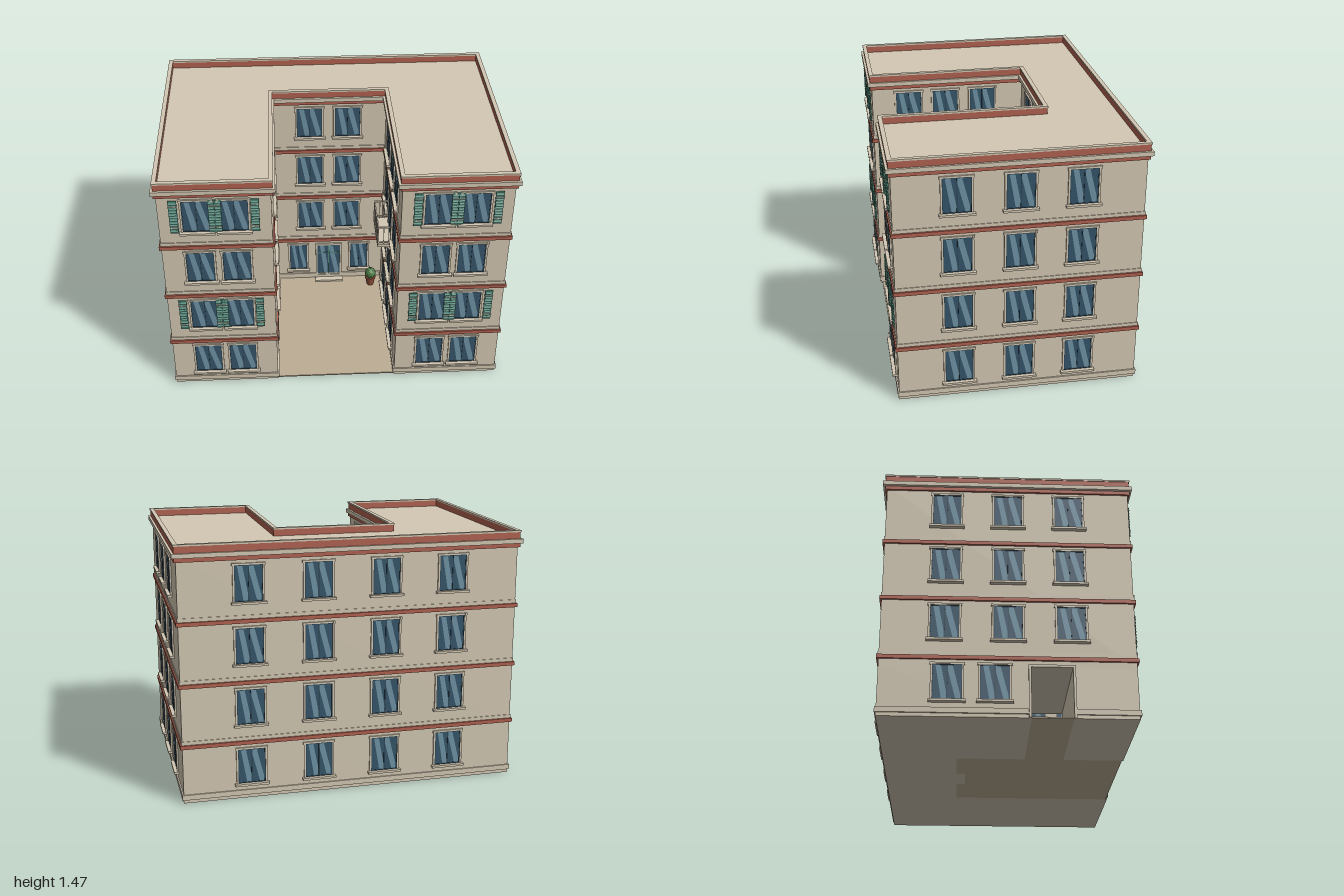
import * as THREE from 'three';

const mat = (color, side = THREE.FrontSide) => new THREE.MeshStandardMaterial({ color, side });
const WALL = mat(0xd3c8b3), PAVING = mat(0xbdae94), RED = mat(0xb0614f), GLASS = mat(0x35556a),
  SHINE = mat(0x6f93a5), DARK = mat(0x2a3f4a), TEAL = mat(0x4f8878), LIGHT = mat(0xd8d4c4),
  CLAY = mat(0x96513c), LEAF = mat(0x4d7a45);

// Plan: outer half sizes, courtyard half width, courtyard back wall, storey height
const X = 0.974, Z = 0.682, C = 0.355, B = -0.264, STOREY = 0.351;
// Passage through the left-hand wing
const P0 = 0.12, P1 = 0.34, PH = 0.285;

function mesh(parent, name, geo, material, x = 0, y = 0, z = 0) {
  const m = new THREE.Mesh(geo, material);
  m.name = name;
  m.position.set(x, y, z);
  parent.add(m);
  return m;
}
const box = (parent, name, material, w, h, d, x, y, z) =>
  mesh(parent, name, new THREE.BoxGeometry(w, h, d), material, x, y, z);

const poly = (pts) => pts.map(([x, y]) => new THREE.Vector2(x, y));

// U-shaped plan grown by d; the -x wing may be cut short at wingEnd
function plan(d, wingEnd = Z + d) {
  const x = X + d, f = Z + d, c = C - d, b = B + d;
  return poly([[-x, -wingEnd], [-c, -wingEnd], [-c, -b], [c, -b], [c, -f], [x, -f], [x, f], [-x, f]]);
}

function slab(parent, name, material, y0, y1, d, { inner, wingEnd } = {}) {
  const shape = new THREE.Shape(plan(d, wingEnd));
  if (inner !== undefined) shape.holes.push(new THREE.Path(plan(inner)));
  const geo = new THREE.ExtrudeGeometry(shape, { depth: y1 - y0, bevelEnabled: false });
  geo.rotateX(-Math.PI / 2);
  return mesh(parent, name, geo, material, 0, y0, 0);
}

// Flat surround standing on y = 0, open at the bottom
function surround(w, h, t, depth) {
  const a = w / 2, o = a + t;
  const shape = new THREE.Shape(poly([[-o, 0], [-a, 0], [-a, h], [a, h], [a, 0], [o, 0], [o, h + t], [-o, h + t]]));
  return new THREE.ExtrudeGeometry(shape, { depth, bevelEnabled: false });
}

// Two slanted reflections, one per pane
function reflections(w, h) {
  const p = w / 2;
  return new THREE.ShapeGeometry([
    poly([[-p * 0.85, h], [-p * 0.45, h], [-p * 0.05, h * 0.2], [-p * 0.05, 0], [-p * 0.4, 0]]),
    poly([[p * 0.05, h], [p * 0.4, h], [p * 0.95, h * 0.15], [p * 0.95, 0], [p * 0.62, 0], [p * 0.05, h * 0.85]]),
  ].map((pts) => new THREE.Shape(pts.reverse())));
}

// Window facing +z, bottom centre at the origin
function makeWindow(w = 0.157, h = 0.203) {
  const g = new THREE.Group();
  g.name = 'window';
  mesh(g, 'windowSurround', surround(w, h, 0.01, 0.009), WALL);
  box(g, 'glass', GLASS, w, h, 0.006, 0, h / 2, 0);
  mesh(g, 'glassReflection', reflections(w - 0.012, h - 0.012), SHINE, 0, 0.006, 0.0038);
  for (const x of [-w / 2 + 0.002, 0, w / 2 - 0.002]) box(g, 'windowBar', DARK, 0.004, h, 0.006, x, h / 2, 0.003);
  for (const y of [0.002, h - 0.002]) box(g, 'windowRail', DARK, w, 0.004, 0.006, 0, y, 0.003);
  for (const s of [-1, 1]) box(g, 'surroundEar', WALL, 0.012, 0.014, 0.011, s * (w / 2 + 0.008), h + 0.004, 0.0055);
  box(g, 'windowSill', WALL, w + 0.038, 0.013, 0.026, 0, -0.007, 0.013);
  return g;
}

// Louvred shutter facing +z
function makeShutter(w, h = 0.215) {
  const g = new THREE.Group();
  g.name = 'shutter';
  box(g, 'shutterPanel', TEAL, w, h, 0.006, 0, h / 2, 0.008);
  const slat = new THREE.BoxGeometry(w * 0.86, 0.011, 0.005);
  for (let i = 0; i < 11; i++) {
    const s = mesh(g, 'shutterSlat', slat, TEAL, 0, 0.017 + i * (h - 0.034) / 10, 0.013);
    s.rotation.x = -0.6;
  }
  for (const y of [0.04, h - 0.035]) box(g, 'shutterBatten', LIGHT, w, 0.005, 0.004, 0, y, 0.016);
  return g;
}

function place(parent, part, x, y, z, turn = 0) {
  const p = part.clone();
  p.position.set(x, y, z);
  p.rotation.y = turn;
  parent.add(p);
}

function makePlant() {
  const g = new THREE.Group();
  g.name = 'pottedPlant';
  mesh(g, 'pot', new THREE.CylinderGeometry(0.03, 0.022, 0.05, 12), CLAY, 0, 0.025, 0);
  mesh(g, 'potRim', new THREE.CylinderGeometry(0.037, 0.035, 0.016, 12), CLAY, 0, 0.057, 0);
  const bush = new THREE.IcosahedronGeometry(0.037, 1);
  const leaf = LEAF.clone();
  leaf.flatShading = true;
  mesh(g, 'bush', bush, leaf, 0, 0.092, 0).scale.y = 1.1;
  mesh(g, 'bushTop', new THREE.ConeGeometry(0.02, 0.035, 6), leaf, 0, 0.123, 0);
  return g;
}

// Balcony facing +z, slab top at y = 0
function makeBalcony() {
  const g = new THREE.Group();
  g.name = 'balcony';
  const w = 0.275, d = 0.092, h = 0.125;
  box(g, 'balconySlab', WALL, w, 0.018, d, 0, -0.009, d / 2);
  const r = 0.008;
  for (const y of [0.015, h]) {
    box(g, 'balconyRail', WALL, w, r, r, 0, y, d - r / 2);
    for (const s of [-1, 1]) box(g, 'balconySideRail', WALL, r, r, d, s * (w / 2 - r / 2), y, d / 2);
  }
  for (let i = 0; i <= 10; i++) {
    const t = i % 10 === 0 ? r : 0.004;
    box(g, 'baluster', WALL, t, h, t, (i / 10 - 0.5) * (w - r), h / 2, d - r / 2);
  }
  for (const s of [-1, 1]) {
    for (const z of [0.025, 0.055]) box(g, 'sideBaluster', WALL, 0.004, h, 0.004, s * (w / 2 - r / 2), h / 2, z);
    const bracket = new THREE.ExtrudeGeometry(
      new THREE.Shape(poly([[0, 0], [0, -0.05], [0.012, -0.05], [0.055, 0]])), { depth: 0.014, bevelEnabled: false });
    mesh(g, 'balconyBracket', bracket, WALL, s * 0.1 + 0.007, -0.018, 0).rotation.y = -Math.PI / 2;
  }
  return g;
}

export function createModel() {
  const model = new THREE.Group();
  model.name = 'apartmentBuilding';

  // Ground storey, split around the passage, then the upper body
  slab(model, 'groundWalls', WALL, 0, PH, 0, { wingEnd: P0 });
  box(model, 'wingFrontWall', WALL, X - C, PH, Z - P1, -(X + C) / 2, PH / 2, (Z + P1) / 2);
  slab(model, 'upperWalls', WALL, PH, 1.41, 0);
  slab(model, 'plinth', WALL, 0.02, 0.05, 0.008, { wingEnd: P0 });
  box(model, 'wingPlinth', WALL, X - C + 0.016, 0.03, Z - P1 + 0.008, -(X + C) / 2, 0.035, (Z + P1 + 0.008) / 2);
  box(model, 'courtyardFloor', PAVING, 2 * C, 0.008, Z - B - 0.008, 0, 0.004, (Z + B - 0.008) / 2);
  box(model, 'passageFloor', PAVING, X - C, 0.008, P1 - P0, -(X + C) / 2, 0.004, (P0 + P1) / 2);

  // String courses, cornice and parapet
  for (let k = 0; k < 4; k++) {
    const y = k * STOREY;
    slab(model, 'redBand', RED, y + 0.323, y + 0.345, 0.011);
    if (k < 3) slab(model, 'stringCourse', WALL, y + 0.347, y + 0.367, 0.004);
  }
  slab(model, 'cornice', WALL, 1.4, 1.425, 0.024);
  slab(model, 'parapet', RED, 1.425, 1.463, 0.01, { inner: -0.008 });
  slab(model, 'parapetCap', WALL, 1.463, 1.473, 0.014, { inner: -0.011 });

  // Windows storey by storey
  const win = makeWindow(), slim = makeWindow(0.115);
  const outerShutter = makeShutter(0.047), middleShutter = makeShutter(0.035);
  const quarter = Math.PI / 2, mid = (P0 + P1) / 2;
  for (let k = 0; k < 4; k++) {
    const y = 0.092 + k * STOREY;
    for (const x of [-0.585, -0.195, 0.195, 0.585]) place(model, win, x, y, -Z, Math.PI);
    for (const z of [-0.34, 0, 0.34]) place(model, win, X, y, z, quarter);
    for (const z of k ? [-0.34, 0, 0.34] : [-0.32, -0.07]) place(model, win, -X, y, z, -quarter);
    for (const z of k ? [-0.01, 0.225, 0.455] : [-0.06]) place(model, win, -C, y, z, quarter);
    for (const z of k === 2 ? [-0.01, 0.455] : [-0.01, 0.225, 0.455]) place(model, win, C, y, z, -quarter);
    for (const s of [-1, 1]) {
      if (k) place(model, win, s * 0.118, y, B);
      else place(model, slim, s * 0.203, y, B);
      for (const x of [0.56, 0.765]) place(model, win, s * x, y, Z);
      if (k % 2) {
        for (const x of [0.445, 0.888]) place(model, outerShutter, s * x, y - 0.004, Z);
        for (const x of [0.645, 0.681]) place(model, middleShutter, s * x, y - 0.004, Z);
      }
    }
  }

  // Courtyard entrance
  const door = new THREE.Group();
  door.name = 'entranceDoor';
  mesh(door, 'doorSurround', surround(0.15, 0.29, 0.012, 0.012), WALL);
  box(door, 'doorGlass', GLASS, 0.15, 0.25, 0.008, 0, 0.165, 0.002);
  box(door, 'doorBase', WALL, 0.15, 0.04, 0.016, 0, 0.02, 0.004);
  mesh(door, 'doorReflection', reflections(0.14, 0.24), SHINE, 0, 0.045, 0.0068);
  box(door, 'doorMullion', TEAL, 0.006, 0.25, 0.008, 0, 0.165, 0.005);
  box(door, 'doorTransom', TEAL, 0.15, 0.006, 0.008, 0, 0.225, 0.005);
  box(door, 'doorStep', WALL, 0.185, 0.02, 0.05, 0, 0.01, 0.025);
  place(model, door, 0, 0, B);

  // Passage surrounds
  const arch = new THREE.Group();
  arch.name = 'passageSurround';
  mesh(arch, 'passageFrame', surround(P1 - P0, PH, 0.014, 0.011), WALL);
  place(model, arch, -X, 0, mid, -quarter);
  place(model, arch, -C, 0, mid, quarter);

  // Balcony with its tall window, and the potted plant
  place(model, makeWindow(0.157, 0.25), C, 0.75, 0.21, -quarter);
  place(model, makeBalcony(), C, 0.75, 0.21, -quarter);
  place(model, makePlant(), 0.278, 0.008, -0.18);

  return model;
}
